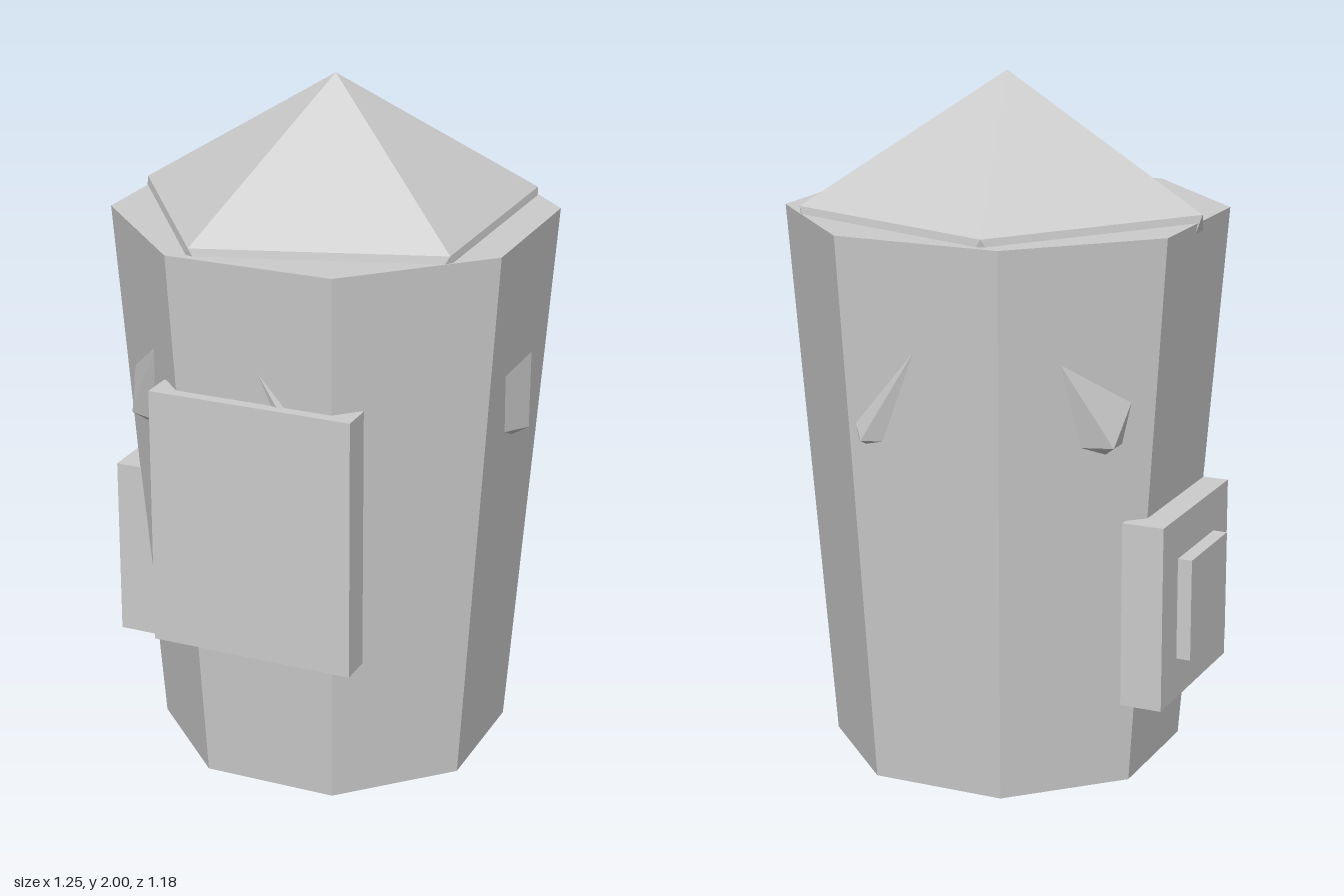
import * as THREE from 'three';

export function createModel() {
  const model = new THREE.Group();
  const grey = new THREE.MeshStandardMaterial({ color: 0xcccccc, flatShading: true });
  grey.name = 'lightGrey';
  const axisX = 0.025;

  function add(name, geometry, x, y, z) {
    const mesh = new THREE.Mesh(geometry, grey);
    mesh.name = name;
    mesh.position.set(x, y, z);
    model.add(mesh);
  }

  // box given by its lower and upper corners
  function addBox(name, [x0, y0, z0], [x1, y1, z1]) {
    add(name, new THREE.BoxGeometry(x1 - x0, y1 - y0, z1 - z0),
      (x0 + x1) / 2, (y0 + y1) / 2, (z0 + z1) / 2);
  }

  // eight-sided body, wider at the top, with flat sides to the front and sides
  const apothem = Math.cos(Math.PI / 8);
  const body = new THREE.CylinderGeometry(0.589 / apothem, 0.475 / apothem, 1.61, 8, 1, false, Math.PI / 8);
  add('body', body, axisX, 0.805, 0);

  // icosahedron standing on a corner: its top is the pointed head,
  // its lower ring of corners pokes through the body as small spikes
  const head = new THREE.IcosahedronGeometry(0.667, 0);
  head.rotateX(-Math.atan((1 + Math.sqrt(5)) / 2));
  head.rotateY(-Math.PI / 2);
  add('head', head, axisX, 1.333, 0);

  // front plate and the stepped plate on the side
  addBox('frontPlate', [-0.275, 0.46, 0.5], [0.325, 1.215, 0.595]);
  addBox('sidePlate', [-0.583, 0.265, -0.29], [-0.46, 0.805, 0.223]);
  addBox('sideButton', [-0.625, 0.385, -0.175], [-0.55, 0.683, 0.108]);

  return model;
}
